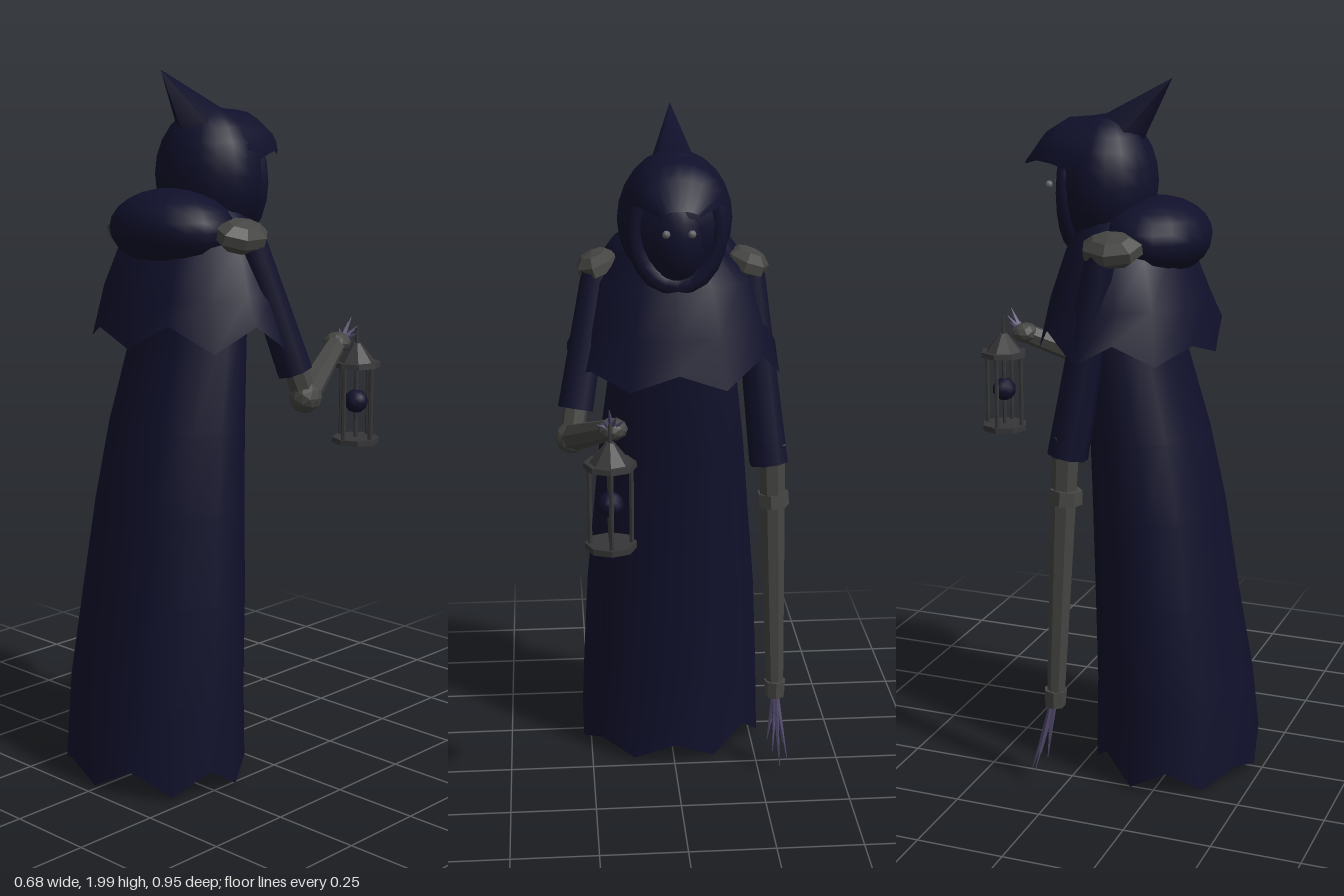
import * as THREE from 'three';

const V = (x, y, z) => new THREE.Vector3(x, y, z);

export function createModel() {
  const cloth = new THREE.MeshStandardMaterial({ color: 0x10102b, side: THREE.DoubleSide });
  cloth.name = 'navy cloth';
  const bone = new THREE.MeshStandardMaterial({ color: 0x454543, flatShading: true });
  bone.name = 'grey bone';
  const claw = new THREE.MeshStandardMaterial({ color: 0x50496a, flatShading: true });
  claw.name = 'violet claw';
  const iron = new THREE.MeshStandardMaterial({ color: 0x363638, flatShading: true });
  iron.name = 'dark iron';
  const eyeGrey = new THREE.MeshStandardMaterial({ color: 0x66666c });
  eyeGrey.name = 'eye grey';

  const model = new THREE.Group();
  model.name = 'hoodedReaper';

  function add(name, geo, mat, pos = V(0, 0, 0), parent = model) {
    const m = new THREE.Mesh(geo, mat);
    m.name = name;
    m.position.copy(pos);
    parent.add(m);
    return m;
  }

  // Tapered cylinder from a (radius ra) to b (radius rb)
  function limb(name, a, b, ra, rb, mat, sides = 7, parent = model) {
    const d = b.clone().sub(a);
    const m = add(name, new THREE.CylinderGeometry(rb, ra, d.length(), sides), mat,
      a.clone().add(b).multiplyScalar(0.5), parent);
    m.quaternion.setFromUnitVectors(V(0, 1, 0), d.normalize());
    return m;
  }

  function ellipsoid(name, pos, rx, ry, rz, mat, w = 18, h = 12) {
    const m = add(name, new THREE.SphereGeometry(1, w, h), mat, pos);
    m.scale.set(rx, ry, rz);
    return m;
  }

  // Surface through rows of points, optionally closed round
  function loft(rows, closed) {
    const n = rows[0].length, index = [];
    for (let i = 0; i < rows.length - 1; i++) {
      for (let j = 0; j < (closed ? n : n - 1); j++) {
        const k = (j + 1) % n, a = i * n, b = a + n;
        index.push(a + j, a + k, b + k, a + j, b + k, b + j);
      }
    }
    const g = new THREE.BufferGeometry().setFromPoints(rows.flat());
    g.setIndex(index);
    g.computeVertexNormals();
    return g;
  }

  // Cloth skirt from rings [y, rx, rz, cz], first ring is a ragged hem
  function skirt(rings, seg, tooth) {
    return loft(rings.map(([y, rx, rz, cz], i) => Array.from({ length: seg }, (_, j) => {
      const a = j / seg * Math.PI * 2;
      const lift = i === 0 && j % 2 ? tooth * (0.85 + 0.25 * Math.sin(j * 2.3)) : 0;
      return V(Math.sin(a) * rx, y + lift, cz + Math.cos(a) * rz);
    })), true);
  }

  // Robe and shoulder cape
  add('robe', skirt([
    [0.025, 0.28, 0.235, 0.24], [0.28, 0.272, 0.222, 0.23], [0.55, 0.258, 0.2, 0.2],
    [0.8, 0.235, 0.185, 0.175], [1.02, 0.215, 0.165, 0.145], [1.3, 0.18, 0.135, 0.09],
    [1.55, 0.13, 0.1, 0.07],
  ], 14, 0.065), cloth);
  add('cape', skirt([
    [1.255, 0.31, 0.25, 0.085], [1.4, 0.272, 0.218, 0.085],
    [1.53, 0.225, 0.17, 0.08], [1.62, 0.13, 0.11, 0.06],
  ], 14, 0.07), cloth);

  // Hood, folded cowl and pointed tip
  ellipsoid('hood', V(0, 1.71, 0.015), 0.16, 0.19, 0.14, cloth);
  ellipsoid('cowl', V(0, 1.57, 0.16), 0.195, 0.11, 0.15, cloth);
  limb('hoodTip', V(0, 1.83, 0.03), V(0, 2, 0.2), 0.085, 0, cloth, 5);

  // Brow that overhangs the face, sections [z, half width, top, edge]
  add('hoodBrow', loft([
    [0.01, 0.152, 1.896, 1.74], [-0.1, 0.13, 1.885, 1.77],
    [-0.155, 0.105, 1.85, 1.775], [-0.213, 0.05, 1.775, 1.757],
  ].map(([z, w, top, edge]) => Array.from({ length: 11 }, (_, j) => {
    const a = (j / 10 - 0.5) * Math.PI;
    return V(Math.sin(a) * w, edge + (top - edge) * Math.cos(a), z);
  })), false), cloth);
  const rim = add('hoodRim', new THREE.TorusGeometry(0.115, 0.025, 8, 20), cloth, V(0, 1.69, -0.07));
  rim.scale.y = 1.3;
  ellipsoid('face', V(0, 1.68, -0.03), 0.1, 0.15, 0.105, cloth);
  for (const s of [-1, 1]) ellipsoid('eye', V(s * 0.035, 1.7, -0.148), 0.011, 0.011, 0.011, eyeGrey, 8, 6);

  // Bone shoulder guards
  for (const s of [-1, 1]) {
    const pad = ellipsoid('shoulderGuard', V(s * 0.212, 1.56, 0.105), 0.066, 0.046, 0.09, bone, 7, 5);
    pad.rotation.z = -s * 0.35;
  }

  // Fan of claws from a wrist, spreading about a main direction
  function claws(name, base, tips) {
    const g = new THREE.Group();
    g.name = name;
    model.add(g);
    for (const t of tips) limb('clawFinger', base, t, 0.011, 0.001, claw, 4, g);
  }

  // Lowered right arm
  limb('rightSleeve', V(-0.215, 1.55, 0.08), V(-0.272, 0.99, 0.0), 0.045, 0.057, cloth, 8);
  limb('rightForearm', V(-0.28, 1.05, 0.0), V(-0.3, 0.27, -0.028), 0.04, 0.026, bone, 7);
  limb('rightElbowCuff', V(-0.285, 0.9, 0.0), V(-0.287, 0.86, -0.002), 0.046, 0.048, bone, 7);
  limb('rightWrist', V(-0.3, 0.305, -0.03), V(-0.3, 0.255, -0.032), 0.033, 0.03, bone, 7);
  claws('rightClaws', V(-0.3, 0.27, -0.035), [
    V(-0.335, 0.06, -0.08), V(-0.31, 0.05, -0.1), V(-0.29, 0.09, -0.08),
    V(-0.275, 0.12, -0.06), V(-0.325, 0.1, -0.045),
  ]);

  // Raised left arm
  const elbow = V(0.298, 1.105, -0.065), wrist = V(0.192, 1.215, -0.325);
  limb('leftSleeve', V(0.215, 1.55, 0.075), V(0.285, 1.18, -0.035), 0.045, 0.052, cloth, 8);
  limb('leftUpperArm', V(0.275, 1.24, -0.02), elbow, 0.035, 0.035, bone);
  add('leftElbow', new THREE.IcosahedronGeometry(0.047, 1), bone, elbow);
  limb('leftForearm', elbow, wrist, 0.04, 0.029, bone);
  add('leftHand', new THREE.IcosahedronGeometry(0.041, 1), bone, wrist).scale.y = 0.75;
  claws('leftClaws', V(0.195, 1.22, -0.34), [
    V(0.165, 1.25, -0.365), V(0.185, 1.265, -0.38), V(0.203, 1.285, -0.375),
    V(0.222, 1.26, -0.38), V(0.235, 1.24, -0.36),
  ]);

  // Hanging lantern
  const lantern = new THREE.Group();
  lantern.name = 'lantern';
  lantern.position.set(0.203, 0, -0.402);
  model.add(lantern);
  const disc = (name, y0, y1, r0, r1) => limb(name, V(0, y0, 0), V(0, y1, 0), r0, r1, iron, 8, lantern);
  disc('lanternBase', 0.905, 0.922, 0.07, 0.07);
  disc('lanternEave', 1.135, 1.15, 0.072, 0.07);
  disc('lanternRoof', 1.15, 1.205, 0.056, 0.012);
  disc('lanternHook', 1.2, 1.255, 0.006, 0.004);
  disc('lanternStem', 0.92, 1.14, 0.006, 0.006);
  for (let i = 0; i < 4; i++) {
    const a = i * Math.PI / 2, x = Math.cos(a) * 0.056, z = Math.sin(a) * 0.056;
    limb('lanternBar', V(x, 0.915, z), V(x, 1.14, z), 0.007, 0.007, iron, 6, lantern);
  }
  add('lanternOrb', new THREE.IcosahedronGeometry(0.036, 1), cloth, V(0, 1.03, 0), lantern);

  // Legs and clawed feet beneath the robe
  for (const s of [-1, 1]) {
    const x = s * 0.1;
    limb('shin', V(x, 0.05, 0.21), V(x * 0.9, 0.6, 0.18), 0.032, 0.04, bone);
    add('foot', new THREE.BoxGeometry(0.06, 0.04, 0.07), claw, V(x, 0.035, 0.205));
    claws('toes', V(x, 0.04, 0.19), [-1, 0, 1].map((k) => V(x + k * 0.035, 0.018, 0.095 + Math.abs(k) * 0.02)));
  }
  return model;
}
